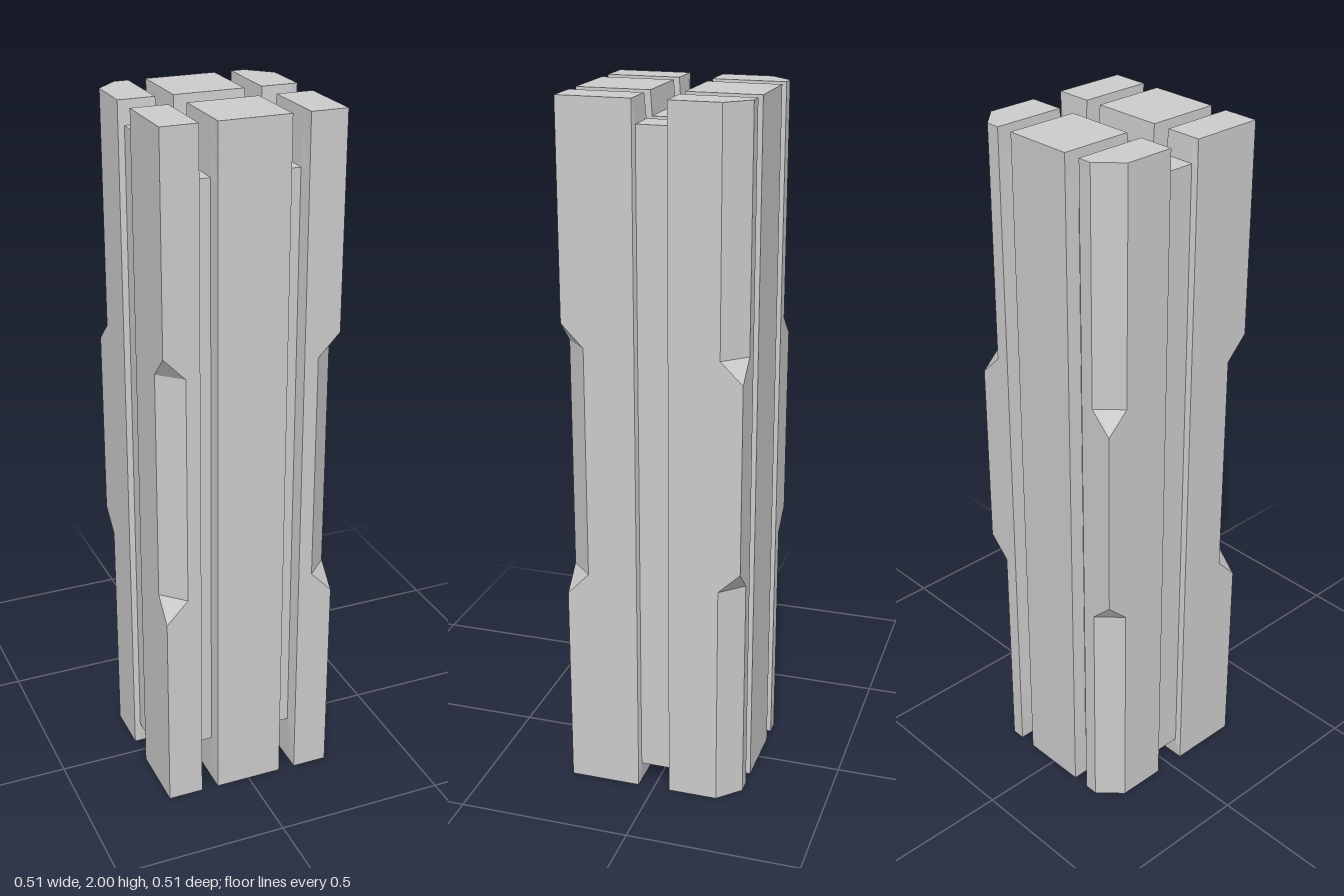
import * as THREE from 'three';

const HALF = 0.253;         // half width of the block
const CHAMFER = 0.063;      // corner chamfer size
const X_FLOOR = 0.213;      // floor of the front/back grooves (in z)
const Z_FLOOR = 0.237;      // floor of the side grooves (in x)
const X_END = 0.15;         // groove depth at the ends
const Z_END = 0.066;

// Flat-shaded solid from horizontal cross-sections [{ y, pts: Vector2(x, z)[] }]
function loft(sections) {
  const flip = THREE.ShapeUtils.area(sections[0].pts) < 0;
  const rings = sections.map(({ y, pts }) => ({ y, pts: flip ? pts.slice().reverse() : pts }));
  const pos = [];
  const tri = (...verts) => {
    const [a, b, c] = verts.map(([p, y]) => new THREE.Vector3(p.x, y, p.y));
    if (b.clone().sub(a).cross(c.clone().sub(a)).length() < 1e-9) return;
    for (const v of [a, b, c]) pos.push(v.x, v.y, v.z);
  };
  for (let s = 0; s < rings.length - 1; s++) {
    const lo = rings[s], hi = rings[s + 1], n = lo.pts.length;
    for (let i = 0; i < n; i++) {
      const j = (i + 1) % n;
      tri([lo.pts[i], lo.y], [hi.pts[j], hi.y], [lo.pts[j], lo.y]);
      tri([lo.pts[i], lo.y], [hi.pts[i], hi.y], [hi.pts[j], hi.y]);
    }
  }
  const cap = ({ y, pts }, up) => {
    for (const f of THREE.ShapeUtils.triangulateShape(pts.slice(), [])) {
      const [a, b, c] = up ? [f[2], f[1], f[0]] : f;
      tri([pts[a], y], [pts[b], y], [pts[c], y]);
    }
  };
  cap(rings[0], false);
  cap(rings[rings.length - 1], true);
  const g = new THREE.BufferGeometry();
  g.setAttribute('position', new THREE.Float32BufferAttribute(pos, 3));
  g.computeVertexNormals();
  return g;
}

// Groove walls lean slightly: a wall moves from its rim to its foot with depth
const lean = (rim, foot, y, depth) =>
  THREE.MathUtils.lerp(rim, foot, Math.min(1, Math.min(y, 2 - y) / depth));

export function createModel() {
  const group = new THREE.Group();
  const material = new THREE.MeshStandardMaterial({ color: 0xcccccc, flatShading: true });
  const add = (name, geometry, x = 0, y = 0, z = 0) => {
    const mesh = new THREE.Mesh(geometry, material);
    mesh.name = name;
    mesh.position.set(x, y, z);
    group.add(mesh);
  };

  // [height, chamfer] of the corner posts: front cut in the middle, back cut at the ends
  const frontCuts = [[0, 0], [Z_END, 0], [X_END, 0], [0.6, 0], [0.667, 1], [1.335, 1],
    [1.4, 0], [2 - X_END, 0], [2 - Z_END, 0], [2, 0]];
  const backCuts = [[0, 1], [Z_END, 1], [X_END, 1], [0.667, 1], [0.728, 0], [1.274, 0],
    [1.335, 1], [2 - X_END, 1], [2 - Z_END, 1], [2, 1]];

  for (const sz of [1, -1]) {
    const side = sz > 0 ? 'front' : 'back';

    // Corner posts
    for (const sx of [1, -1]) {
      const sections = (sz > 0 ? frontCuts : backCuts).map(([y, cut]) => {
        const c = cut * CHAMFER;
        const xi = lean(0.15, 0.144, y, X_END);
        const zi = lean(0.047, 0.042, y, Z_END);
        const pts = [[HALF, 0.047], [HALF, HALF - c], [HALF - c, HALF], [0.15, HALF],
          [xi, X_FLOOR], [xi, zi], [Z_FLOOR, zi]];
        return { y, pts: pts.map(([x, z]) => new THREE.Vector2(x * sx, z * sz)) };
      });
      add(`${side}${sx > 0 ? 'Left' : 'Right'}Post`, loft(sections));
    }

    // Wide centre slabs
    const slab = [0, Z_END, X_END, 2 - X_END, 2 - Z_END, 2].map((y) => {
      const xi = lean(0.1, 0.104, y, X_END);
      const zi = lean(0.047, 0.042, y, Z_END);
      const pts = [[0.1, HALF], [xi, X_FLOOR], [xi, zi], [-xi, zi], [-xi, X_FLOOR], [-0.1, HALF]];
      return { y, pts: pts.map(([x, z]) => new THREE.Vector2(x, z * sz)) };
    });
    add(`${side}Slab`, loft(slab));
  }

  // Recessed pieces that form the groove floors
  const zHeight = 2 - 2 * Z_END;
  add('centreWeb', new THREE.BoxGeometry(0.208, zHeight, 0.09), 0, 1, 0);
  for (const sx of [1, -1]) {
    const name = sx > 0 ? 'left' : 'right';
    add(`${name}SideWeb`, new THREE.BoxGeometry(Z_FLOOR - 0.143, zHeight, 0.09),
      sx * (Z_FLOOR + 0.143) / 2, 1, 0);
    add(`${name}GrooveFloor`, new THREE.BoxGeometry(0.05, 2 - 2 * X_END, 2 * X_FLOOR),
      sx * 0.124, 1, 0);
  }
  return group;
}
